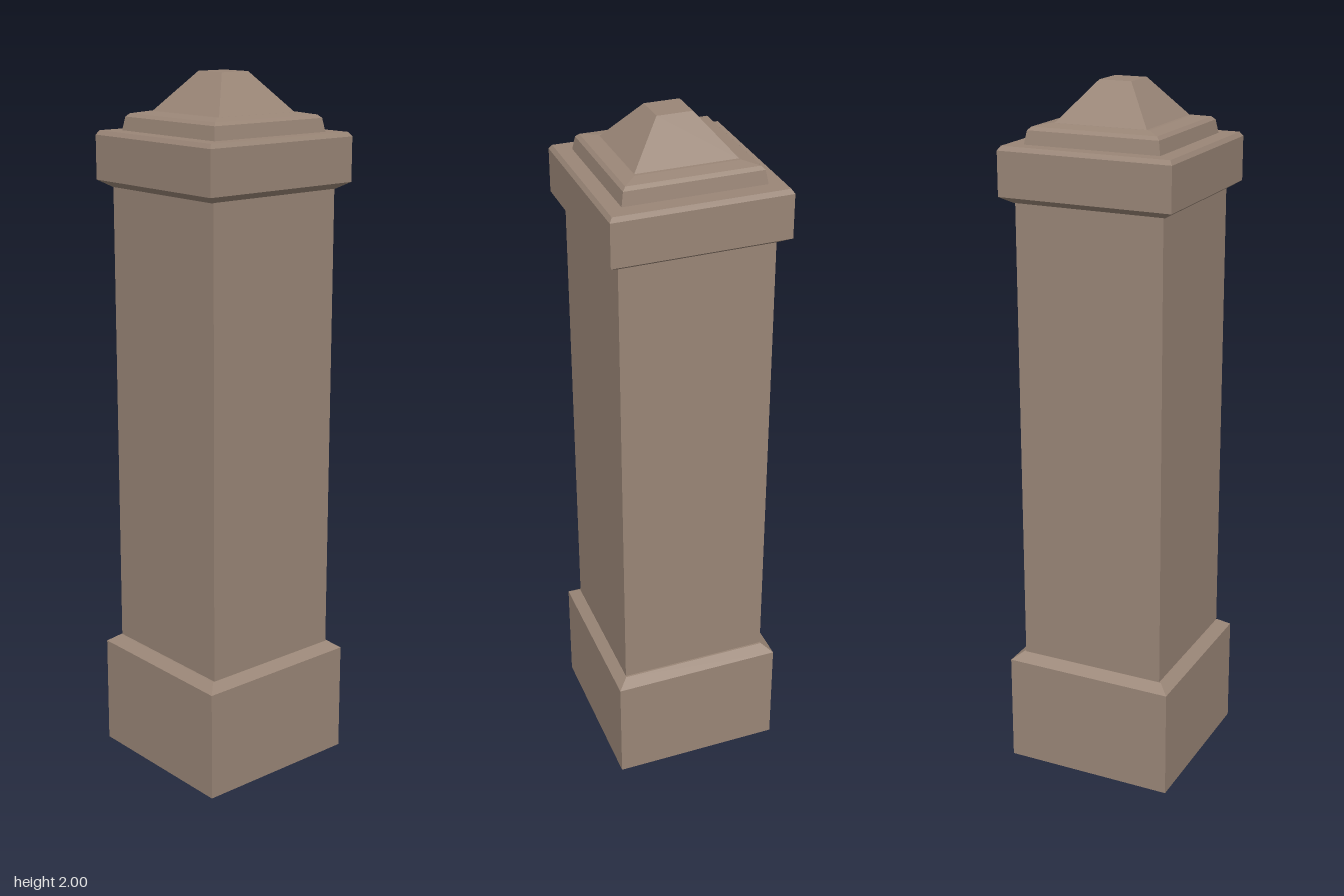
import * as THREE from 'three';

const stone = new THREE.MeshStandardMaterial({ color: 0x9a8677 });
stone.name = 'weathered stone';

// Four-sided solid turned from a [half width, height] profile, listed bottom to top.
function squareTurned(name, profile, depthRatio = 1) {
  const closed = [[0, profile[0][1]], ...profile, [0, profile[profile.length - 1][1]]];
  const points = closed.map(([r, y]) => new THREE.Vector2(r * Math.SQRT2, y));
  const geometry = new THREE.LatheGeometry(points, 4, Math.PI / 4).toNonIndexed();
  geometry.scale(1, 1, depthRatio);
  geometry.computeVertexNormals();
  const mesh = new THREE.Mesh(geometry, stone);
  mesh.name = name;
  return mesh;
}

export function createModel() {
  const group = new THREE.Group();
  group.name = 'stonePillar';
  group.add(
    // Plinth with a sloped top edge
    squareTurned('plinth', [[0.246, 0], [0.246, 0.32], [0.217, 0.342]], 1.02),
    // Plain shaft
    squareTurned('shaft', [[0.216, 0.335], [0.216, 1.7]]),
    // Wide capital, bevelled above and below
    squareTurned('capital', [[0.214, 1.685], [0.246, 1.705], [0.246, 1.828], [0.238, 1.84]], 1.02),
    // Stepped slab on the capital
    squareTurned('capSlab', [[0.197, 1.838], [0.19, 1.877], [0.181, 1.886], [0.143, 1.893]]),
    // Blunt pyramid finial
    squareTurned('finial', [[0.143, 1.89], [0.049, 2]], 0.95)
  );
  return group;
}
